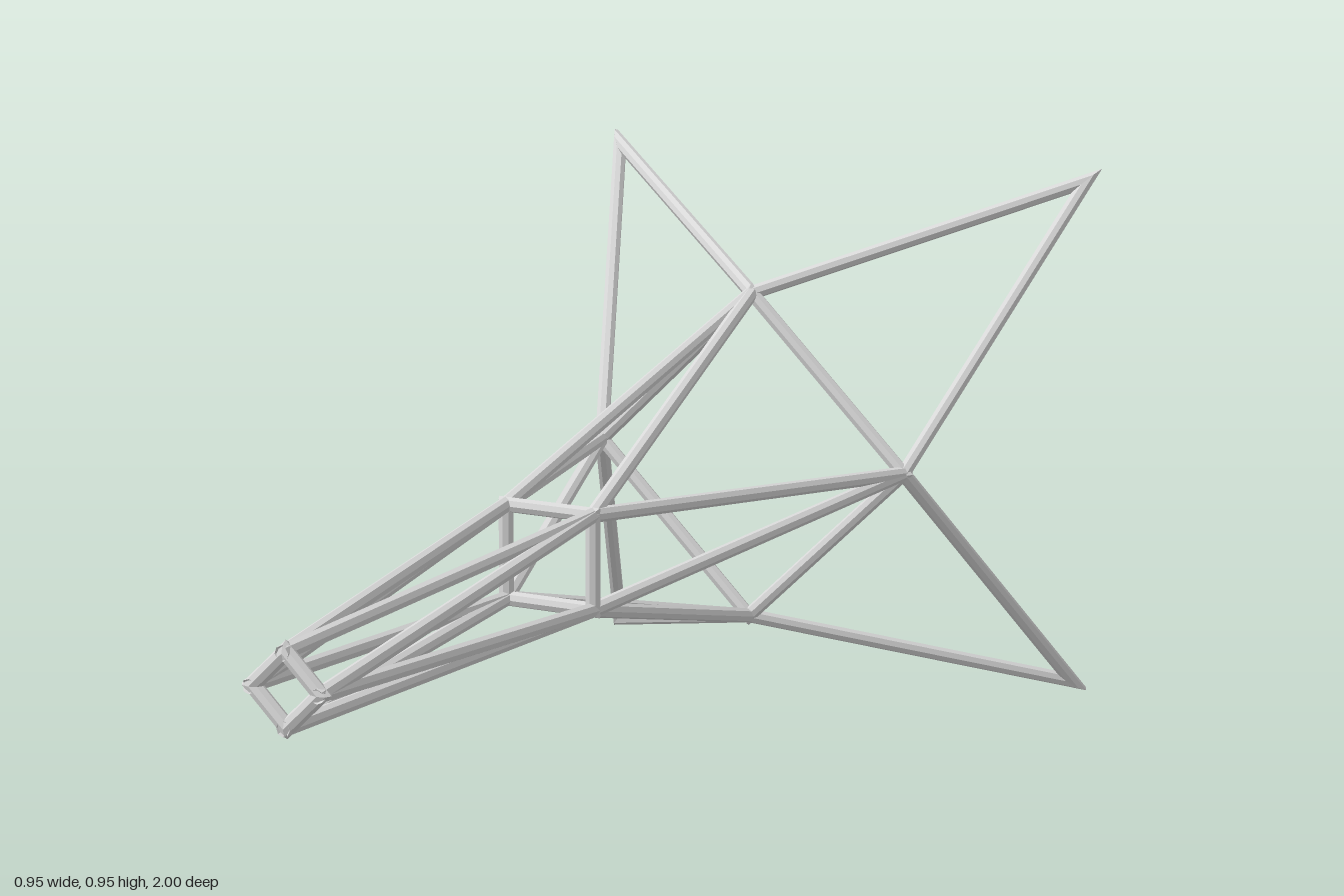
import * as THREE from 'three';

const RADIUS = 0.0123;
const SIDES = 8;
const CENTRE_Y = 0.4725;

// Four nodes around the long axis, starting at the given angle
function ring(radius, z, startAngle) {
  return [0, 1, 2, 3].map((i) => {
    const a = startAngle + (i * Math.PI) / 2;
    return new THREE.Vector3(radius * Math.cos(a), CENTRE_Y + radius * Math.sin(a), z);
  });
}

// Straight bar from a to b, its ends cut along the mitre planes of the joints
function barGeometry(a, b, before, after, limit) {
  const dir = b.clone().sub(a).normalize();
  const turn = new THREE.Quaternion().setFromUnitVectors(new THREE.Vector3(0, 1, 0), dir);
  const startPlane = a.clone().sub(before).normalize().add(dir);
  const endPlane = after.clone().sub(b).normalize().add(dir);
  const geometry = new THREE.CylinderGeometry(RADIUS, RADIUS, 1, SIDES).toNonIndexed();
  const pos = geometry.attributes.position;
  const v = new THREE.Vector3();
  for (let i = 0; i < pos.count; i++) {
    const atEnd = pos.getY(i) > 0;
    v.set(pos.getX(i), 0, pos.getZ(i)).applyQuaternion(turn);
    const plane = atEnd ? endPlane : startPlane;
    const shift = -v.dot(plane) / Math.max(dir.dot(plane), 1e-4);
    v.addScaledVector(dir, THREE.MathUtils.clamp(shift, -limit, limit)).add(atEnd ? b : a);
    pos.setXYZ(i, v.x, v.y, v.z);
  }
  geometry.computeVertexNormals();
  return geometry;
}

// Closed loop of mitred bars through the nodes
function barLoop(name, nodes, material, limit) {
  const group = new THREE.Group();
  group.name = name;
  const n = nodes.length;
  nodes.forEach((node, i) => {
    const geometry = barGeometry(
      node, nodes[(i + 1) % n], nodes[(i + n - 1) % n], nodes[(i + 2) % n], limit);
    const bar = new THREE.Mesh(geometry, material);
    bar.name = name + 'Bar';
    group.add(bar);
  });
  return group;
}

// Alternate the nodes of two rings to form a zigzag
const zigzag = (first, second) => first.flatMap((node, i) => [node, second[i]]);

export function createModel() {
  const model = new THREE.Group();
  model.name = 'spaceFrame';
  const metal = new THREE.MeshStandardMaterial({ color: 0xd8d8d8 });
  metal.name = 'light grey metal';

  const nose = ring(0.056, 0.988, 0);
  const waist = ring(0.077 * Math.SQRT2, 0.183, Math.PI / 4);
  const shoulder = ring(0.287, -0.57, 0);
  const tips = ring(0.453 * Math.SQRT2, -0.973, Math.PI / 4);

  model.add(
    // Cross frames
    barLoop('noseFrame', nose, metal, 0.04),
    barLoop('waistFrame', waist, metal, 0.04),
    barLoop('shoulderFrame', shoulder, metal, 0.04),
    // Lengthwise struts
    barLoop('noseStruts', zigzag(nose, waist), metal, 0.011),
    barLoop('bodyStruts', zigzag(shoulder, waist), metal, 0.011),
    // Four pointed tail fins
    barLoop('tailFins', zigzag(shoulder, tips), metal, 0.045),
  );
  return model;
}
